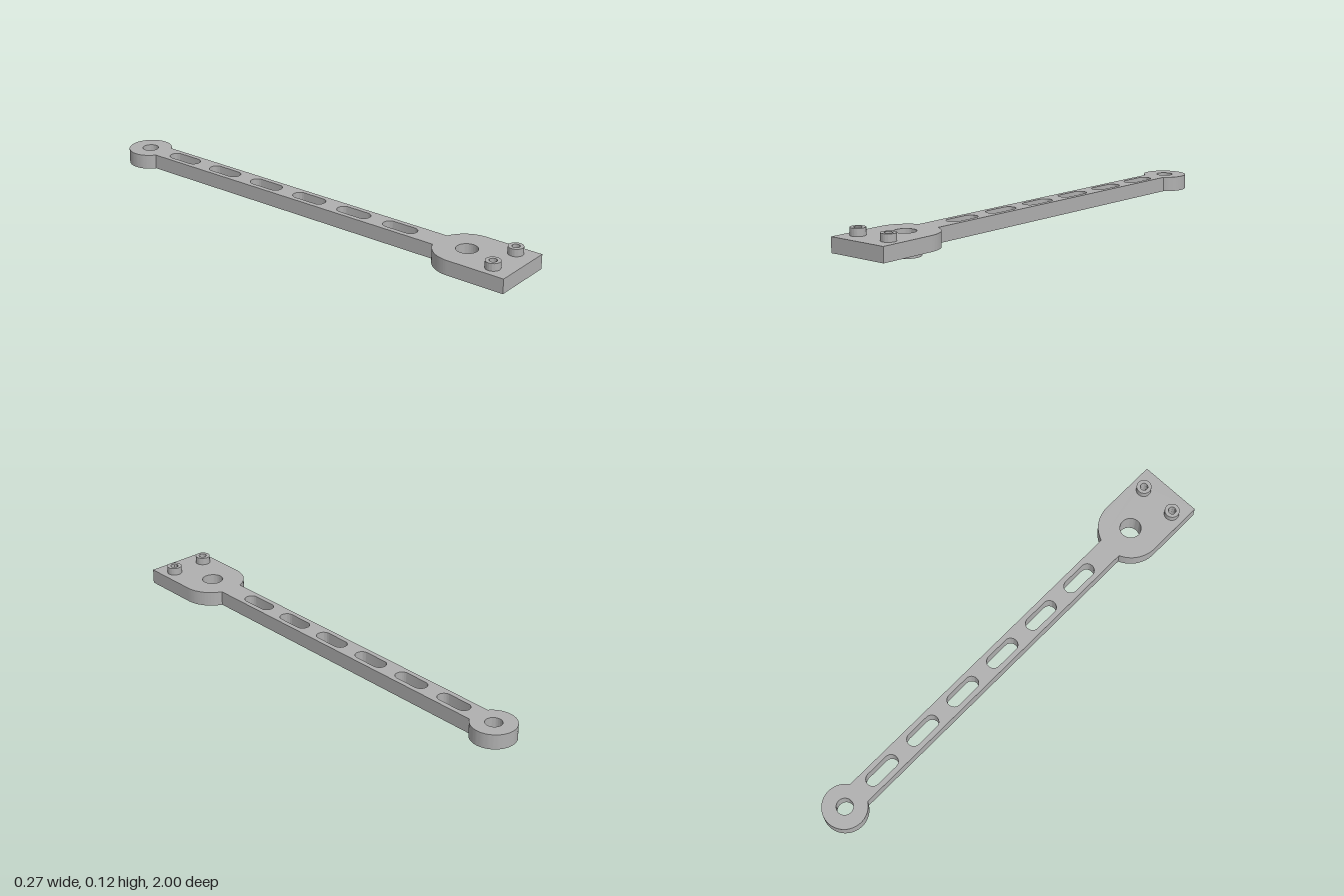
import * as THREE from 'three';
import { toCreasedNormals } from 'three/addons/utils/BufferGeometryUtils.js';

const BOTTOM = 0.032, TOP = 0.094;      // plate faces
const HEAD_Z = 0.75, HEAD_R = 0.135, HEAD_HOLE = 0.044;
const EYE_Z = -0.908, EYE_R = 0.092, EYE_HOLE = 0.034;
const BAR = 0.05;                        // half width of the bar
const PEG_X = 0.079, PEG_Z = 0.917, PEG_R = 0.031, PEG_HOLE = 0.016;

// Shapes are drawn in plan with shape y = -z
function circle(x, z, r, Type = THREE.Path) {
  const p = new Type();
  p.absarc(x, -z, r, 0, Math.PI * 2, false);
  return p;
}

function slot(z, halfWidth, length) {
  const p = new THREE.Path();
  const h = length / 2 - halfWidth;
  p.absarc(0, -z + h, halfWidth, 0, Math.PI, false);
  p.absarc(0, -z - h, halfWidth, Math.PI, Math.PI * 2, false);
  p.closePath();
  return p;
}

// Raise a plan shape from y0 to y1
function slab(name, shape, y0, y1, material) {
  let g = new THREE.ExtrudeGeometry(shape, { depth: y1 - y0, bevelEnabled: false, curveSegments: 32 });
  g.rotateX(-Math.PI / 2);
  g.translate(0, y0, 0);
  g = toCreasedNormals(g, 0.5);
  const mesh = new THREE.Mesh(g, material);
  mesh.name = name;
  return mesh;
}

function tube(name, x, z, r, hole, y0, y1, material) {
  const shape = circle(x, z, r, THREE.Shape);
  shape.holes.push(circle(x, z, hole));
  return slab(name, shape, y0, y1, material);
}

export function createModel() {
  const grey = new THREE.MeshStandardMaterial({ color: 0xb0b0b0 });
  grey.name = 'grey';
  const model = new THREE.Group();
  model.name = 'leverArm';

  // Arm outline: square-ended head, straight bar, round eye
  const arm = new THREE.Shape();
  const headAngle = Math.acos(BAR / HEAD_R);
  const eyeAngle = Math.acos(BAR / EYE_R);
  arm.moveTo(-HEAD_R, -1);
  arm.lineTo(HEAD_R, -1);
  arm.absarc(0, -HEAD_Z, HEAD_R, 0, headAngle, false);
  arm.absarc(0, -EYE_Z, EYE_R, -eyeAngle, Math.PI + eyeAngle, false);
  arm.absarc(0, -HEAD_Z, HEAD_R, Math.PI - headAngle, Math.PI, false);
  arm.closePath();

  // Pivot holes, peg holes and the row of lightening slots
  arm.holes.push(circle(0, HEAD_Z, HEAD_HOLE), circle(0, EYE_Z, EYE_HOLE));
  for (const s of [-1, 1]) arm.holes.push(circle(s * PEG_X, PEG_Z, PEG_HOLE));
  for (let i = 0; i < 6; i++) arm.holes.push(slot(-0.703 + i * 0.2278, 0.029, 0.157));
  model.add(slab('arm', arm, BOTTOM, TOP, grey));

  // Hollow boss under the head
  model.add(tube('boss', 0, HEAD_Z, 0.0625, HEAD_HOLE, 0, BOTTOM, grey));

  // Hollow pegs on top of the head
  model.add(tube('leftPeg', PEG_X, PEG_Z, PEG_R, PEG_HOLE, TOP, 0.125, grey));
  model.add(tube('rightPeg', -PEG_X, PEG_Z, PEG_R, PEG_HOLE, TOP, 0.125, grey));
  return model;
}
